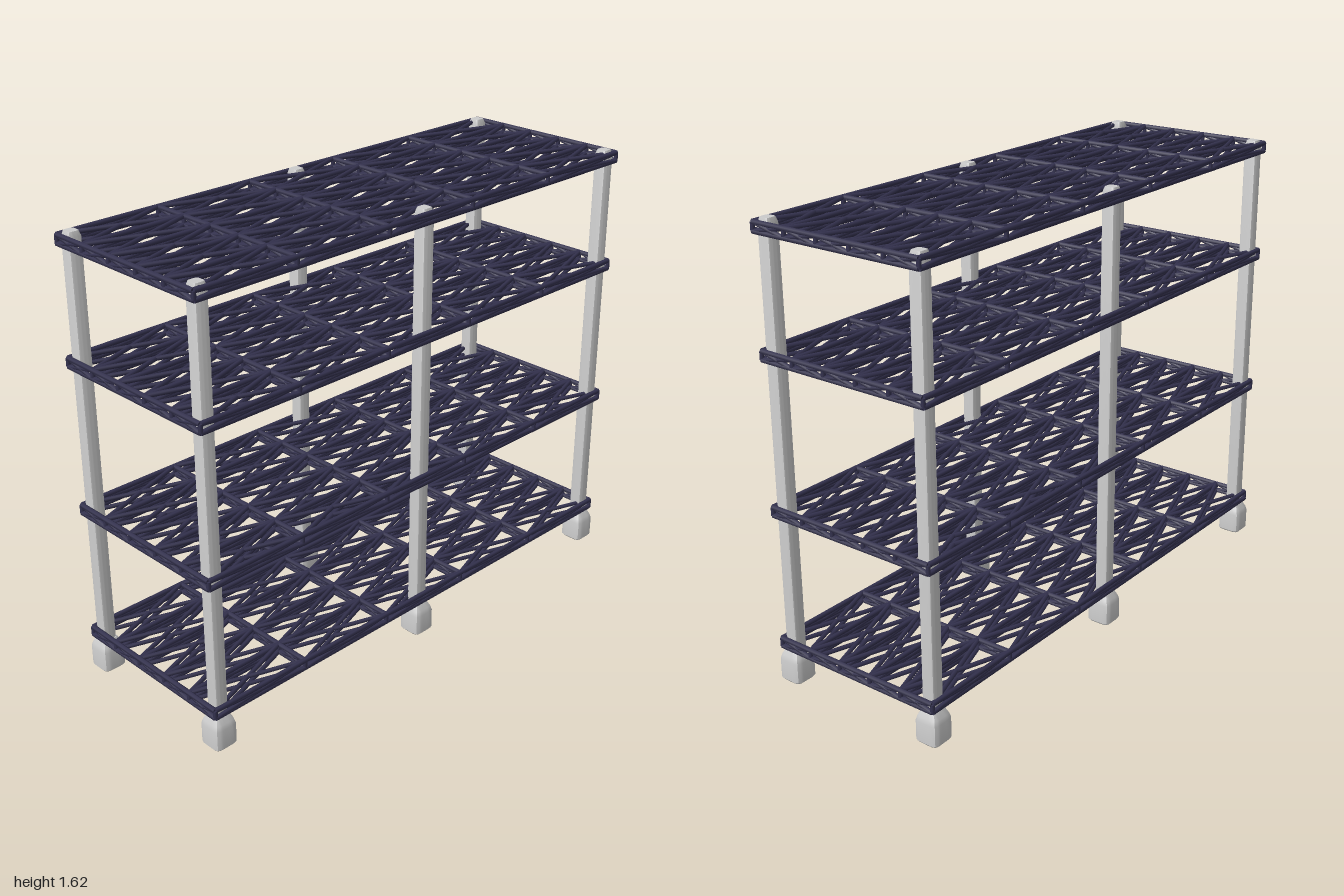
import * as THREE from 'three';
import { mergeGeometries, toCreasedNormals } from 'three/addons/utils/BufferGeometryUtils.js';

const grey = new THREE.MeshStandardMaterial({ color: 0xcccccc });
const navy = new THREE.MeshStandardMaterial({ color: 0x34324f });

const range = (n) => [...Array(n).keys()];

// Lathe profile squared off into a rounded-square section
function squareTurned(profile) {
  const geo = new THREE.LatheGeometry(profile.map(([r, y]) => new THREE.Vector2(r, y)), 32);
  const p = geo.attributes.position;
  for (let i = 0; i < p.count; i++) {
    const x = p.getX(i), z = p.getZ(i), r = Math.hypot(x, z);
    if (r < 1e-6) continue;
    const k = Math.pow((x / r) ** 6 + (z / r) ** 6, -1 / 6);
    p.setX(i, x * k);
    p.setZ(i, z * k);
  }
  return toCreasedNormals(geo, 0.6);
}

// Straight lattice bar between two points
function bar(a, b, radius = 0.008) {
  const dir = b.clone().sub(a);
  const geo = new THREE.CylinderGeometry(radius, radius, dir.length(), 6);
  const turn = new THREE.Quaternion().setFromUnitVectors(new THREE.Vector3(0, 1, 0), dir.normalize());
  geo.applyQuaternion(turn);
  const mid = a.clone().add(b).multiplyScalar(0.5);
  return geo.translate(mid.x, mid.y, mid.z);
}

// One shelf: a grid of shallow box cells, every face cross-braced
function shelfGeometry() {
  const n = 5, hx = 0.987, hz = 0.336, hy = 0.015;
  const node = (i, j, k) => new THREE.Vector3(
    -hx + (2 * hx * i) / n, j ? hy : -hy, -hz + (2 * hz * k) / n);
  const bars = [];
  const add = (a, b, r) => bars.push(bar(node(...a), node(...b), r));

  for (const j of [0, 1]) {
    for (const m of range(n + 1)) {
      // long and cross rails
      add([0, j, m], [n, j, m], 0.009);
      add([m, j, 0], [m, j, n], 0.009);
    }
    // horizontal crosses
    for (const i of range(n)) for (const k of range(n)) {
      add([i, j, k], [i + 1, j, k + 1]);
      add([i, j, k + 1], [i + 1, j, k]);
    }
  }
  for (const m of range(n + 1)) {
    for (const q of range(n + 1)) add([m, 0, q], [m, 1, q]);
    // upright crosses along both directions
    for (const q of range(n)) for (const j of [0, 1]) {
      add([q, j, m], [q + 1, 1 - j, m]);
      add([m, j, q], [m, 1 - j, q + 1]);
    }
  }
  return mergeGeometries(bars);
}

export function createModel() {
  const model = new THREE.Group();
  const place = (geo, mat, name, x, y, z) => {
    const mesh = new THREE.Mesh(geo, mat);
    mesh.name = name;
    mesh.position.set(x, y, z);
    model.add(mesh);
    return mesh;
  };

  // Four lattice shelves
  const shelf = shelfGeometry();
  [0.143, 0.635, 1.178, 1.596].forEach((y, i) => place(shelf, navy, `shelf${i + 1}`, 0, y, 0));

  // Six posts, each on a block foot with a tapered shoulder
  const post = squareTurned([
    [0, 0.1], [0.025, 0.1], [0.025, 1.608], [0.019, 1.625], [0, 1.625],
  ]);
  const foot = squareTurned([
    [0, 0], [0.041, 0], [0.045, 0.005], [0.045, 0.078],
    [0.04, 0.095], [0.028, 0.118], [0, 0.118],
  ]);
  const columns = { right: -0.953, middle: -0.008, left: 0.951 };
  for (const [side, x] of Object.entries(columns)) {
    for (const [end, z] of [['Front', 0.307], ['Back', -0.307]]) {
      place(post, grey, `${side}${end}Post`, x, 0, z);
      place(foot, grey, `${side}${end}Foot`, x, 0, z);
    }
  }
  return model;
}
